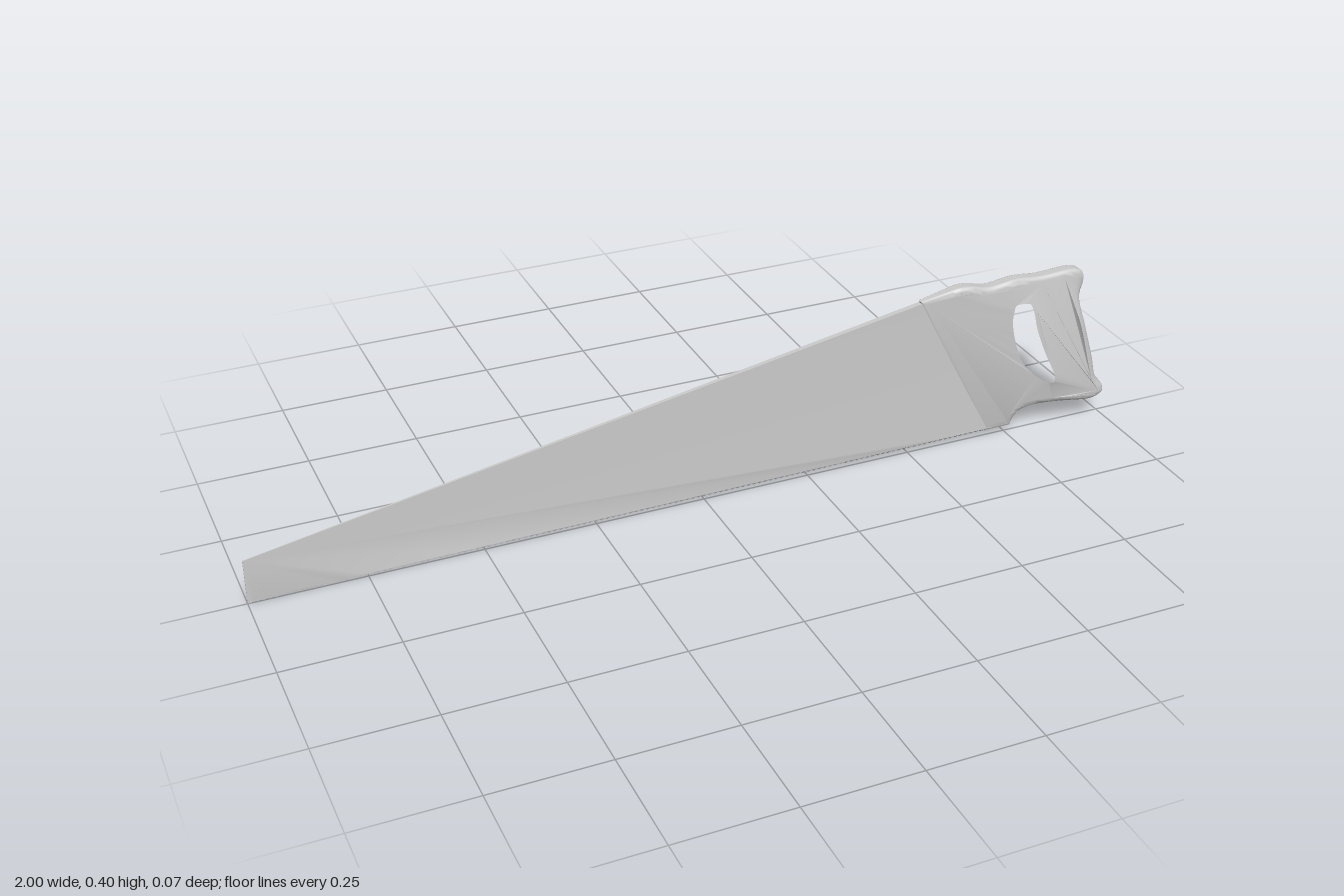
import * as THREE from 'three';
import { toCreasedNormals } from 'three/addons/utils/BufferGeometryUtils.js';

const { lerp, smoothstep } = THREE.MathUtils;
const vecs = (list) => list.map(([x, y]) => new THREE.Vector2(x, y));

// Scale a unit-thick slab (z from -1 to 1) to a half thickness that varies over x and y.
function shapeThickness(geometry, half) {
  const p = geometry.attributes.position;
  for (let i = 0; i < p.count; i++) p.setZ(i, p.getZ(i) * half(p.getX(i), p.getY(i)));
  return toCreasedNormals(geometry, 0.6);
}

// Blade half thickness: thin at the toe, thicker at the heel.
const bladeHalf = (x) => lerp(0.001, 0.007, Math.min(1, (x + 1) / 1.55));

function bladeGeometry() {
  const teeth = 130, heel = 0.72, height = 0.006;
  const shape = new THREE.Shape();
  const baseY = (x) => 0.014 * (x + 1) / 1.76;
  shape.moveTo(-1, 0.103);
  shape.lineTo(-1, height);
  for (let i = 0; i < teeth; i++) {
    const a = lerp(-1, heel, (i + 0.5) / teeth), b = lerp(-1, heel, (i + 1) / teeth);
    shape.lineTo(a, baseY(a));
    shape.lineTo(b, baseY(b) + height);
  }
  shape.lineTo(0.6, 0.39);
  const g = new THREE.ExtrudeGeometry(shape, { depth: 2, bevelEnabled: false }).translate(0, 0, -1);
  // Tooth tips are ground thinner than the plate.
  return shapeThickness(g, (x, y) => bladeHalf(x) * (y < baseY(x) + height * 0.5 ? 0.35 : 1));
}

// Handle half thickness: a slim cheek over the blade and a full, rounded grip.
function handleHalf(x, y) {
  const fromBlade = x - 0.51 + (y - 0.378) * 0.51;
  const cheek = lerp(0.010, 0.018, smoothstep(fromBlade, 0, 0.13));
  const across = smoothstep(x + 0.37 * (y - 0.2), 0.76, 0.86);
  const along = 1 - smoothstep(y, 0.24, 0.37);
  const foot = lerp(0.65, 1, smoothstep(y, 0.01, 0.05));
  return (cheek + 0.016 * across * along) * foot;
}

function handleGeometry() {
  const bevel = 0.016;
  const shape = new THREE.Shape();
  shape.moveTo(0.51, 0.379);
  shape.lineTo(0.58, 0.393);
  // Top edge, upper horn, back of the grip and lower horn
  shape.splineThru(vecs([
    [0.605, 0.397], [0.635, 0.395], [0.68, 0.385], [0.745, 0.392], [0.81, 0.387],
    [0.885, 0.390], [0.915, 0.380], [0.921, 0.355], [0.912, 0.315], [0.933, 0.24],
    [0.958, 0.16], [0.970, 0.112], [0.992, 0.083], [0.993, 0.062], [0.96, 0.049],
    [0.89, 0.058], [0.82, 0.059], [0.785, 0.054], [0.768, 0.038], [0.762, 0.016],
  ]));
  shape.lineTo(0.695, 0.013);
  shape.closePath();

  // Finger opening
  const opening = new THREE.SplineCurve(vecs([
    [0.728, 0.332], [0.746, 0.346], [0.788, 0.342], [0.805, 0.315], [0.816, 0.267],
    [0.842, 0.203], [0.868, 0.15], [0.874, 0.123], [0.864, 0.103], [0.842, 0.102],
    [0.80, 0.128], [0.762, 0.171], [0.741, 0.219], [0.725, 0.283], [0.728, 0.332],
  ]));
  shape.holes.push(new THREE.Path(opening.getPoints(56).slice(0, -1)));

  const g = new THREE.ExtrudeGeometry(shape, {
    depth: 1, curveSegments: 4, bevelEnabled: true, bevelThickness: 0.5,
    bevelSize: bevel, bevelOffset: -bevel, bevelSegments: 4,
  }).translate(0, 0, -0.5);
  return shapeThickness(g, handleHalf);
}

export function createModel() {
  const group = new THREE.Group();
  group.name = 'handSaw';
  const material = new THREE.MeshStandardMaterial({ color: 0xcccccc });
  for (const [name, geometry] of [['blade', bladeGeometry()], ['handle', handleGeometry()]]) {
    const mesh = new THREE.Mesh(geometry, material);
    mesh.name = name;
    group.add(mesh);
  }
  return group;
}
